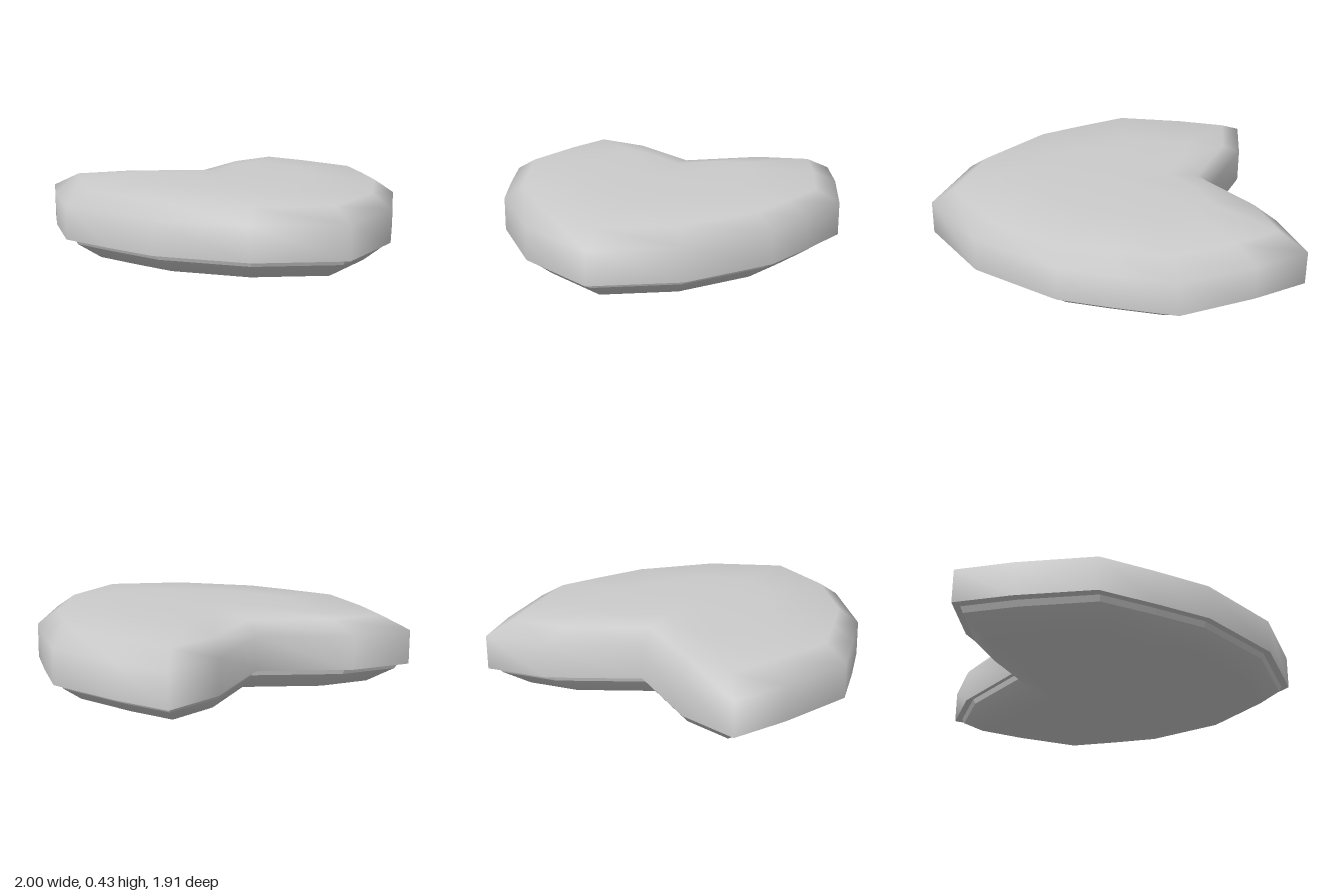
import * as THREE from 'three';

// Right half of the heart outline (x, z), from the back notch to the front tip
const half = [
  [0, -0.62], [0.44, -0.89], [0.78, -0.96], [0.89, -0.67], [1, -0.26],
  [0.89, 0.05], [0.78, 0.33], [0.44, 0.73], [0, 0.955],
];
const outline = [...half, ...half.slice(1, -1).reverse().map(([x, z]) => [-x, z])];

// Skin scaled copies of the outline; each ring is [scale, y, z shift], top to bottom
function heartShell(name, rings, flatShading = false) {
  const n = outline.length;
  const positions = [];
  const indices = [];
  for (const [scale, y, shift = 0] of rings) {
    for (const [x, z] of outline) positions.push(x * scale, y, z * scale + shift);
  }
  for (let r = 0; r < rings.length - 1; r++) {
    for (let j = 0; j < n; j++) {
      const k = (j + 1) % n;
      const a = r * n + j, b = r * n + k, c = a + n, d = b + n;
      if (rings[r][0] > 0) indices.push(a, b, c);
      if (rings[r + 1][0] > 0) indices.push(b, d, c);
      else indices.push(b, c, c);
    }
  }
  const geometry = new THREE.BufferGeometry();
  geometry.setAttribute('position', new THREE.Float32BufferAttribute(positions, 3));
  geometry.setIndex(indices);
  geometry.computeVertexNormals();
  const mesh = new THREE.Mesh(geometry, new THREE.MeshStandardMaterial({ color: 0xcccccc, flatShading }));
  mesh.name = name;
  return mesh;
}

export function createModel() {
  const group = new THREE.Group();
  group.name = 'heart';
  group.add(
    // Domed top and upright side wall
    heartShell('upperShell', [
      [0, 0.425, -0.07], [0.49, 0.425, -0.07], [0.87, 0.4], [1, 0.325], [1, 0.14],
    ]),
    // Narrow step under the wall
    heartShell('lip', [[1, 0.14], [0.955, 0.14]], true),
    heartShell('baseBand', [[0.955, 0.14], [0.94, 0.11]], true),
    // Rounded underside
    heartShell('underside', [
      [0.94, 0.11], [0.82, 0.03], [0.49, 0, -0.07], [0, 0, -0.07],
    ]),
  );
  return group;
}
